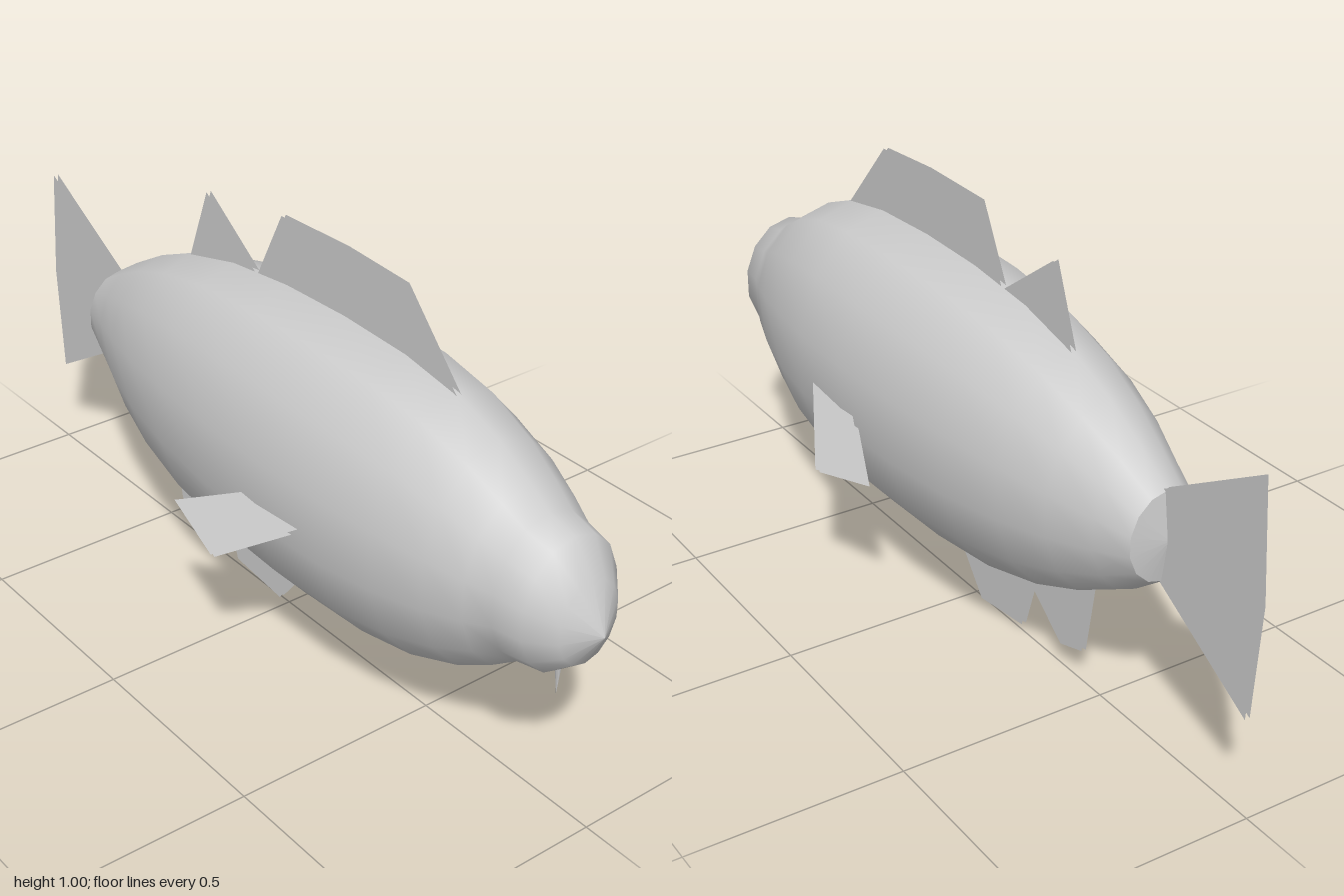
import * as THREE from 'three';

const SIDES = 14;

// Joins elliptical rings [x, centre y, half height, half width] along x.
function loft(stations) {
  const pos = [], index = [];
  for (const [x, cy, h, w] of stations) {
    for (let j = 0; j < SIDES; j++) {
      const a = (j / SIDES) * Math.PI * 2;
      pos.push(x, cy + h * Math.cos(a), w * Math.sin(a));
    }
  }
  for (let i = 0; i < stations.length - 1; i++) {
    for (let j = 0; j < SIDES; j++) {
      const k = (j + 1) % SIDES;
      const a = i * SIDES + j, b = a + SIDES, c = (i + 1) * SIDES + k, d = i * SIDES + k;
      index.push(a, d, c, a, c, b);
    }
  }
  const g = new THREE.BufferGeometry();
  g.setAttribute('position', new THREE.Float32BufferAttribute(pos, 3));
  g.setIndex(index);
  g.computeVertexNormals();
  return g;
}

export function createModel() {
  const model = new THREE.Group();
  model.name = 'fish';
  const skin = new THREE.MeshStandardMaterial({ color: 0xcccccc });
  skin.name = 'paleGrey';
  const finSkin = skin;
  finSkin.side = THREE.DoubleSide;

  const add = (name, geometry, parent = model) => {
    const mesh = new THREE.Mesh(geometry, skin);
    mesh.name = name;
    parent.add(mesh);
    return mesh;
  };

  // Body and head, smooth, with a slight neck before the snout
  add('body', loft([
    [-0.70, 0.505, 0.105, 0.09],
    [-0.61, 0.50, 0.167, 0.118],
    [-0.50, 0.50, 0.228, 0.158],
    [-0.37, 0.50, 0.282, 0.193],
    [-0.20, 0.50, 0.324, 0.224],
    [0.00, 0.50, 0.345, 0.243],
    [0.20, 0.50, 0.35, 0.25],
    [0.40, 0.50, 0.342, 0.243],
    [0.55, 0.50, 0.317, 0.223],
    [0.68, 0.50, 0.268, 0.194],
    [0.77, 0.50, 0.215, 0.165],
    [0.83, 0.502, 0.172, 0.142],
    [0.90, 0.50, 0.157, 0.13],
    [0.955, 0.487, 0.098, 0.08],
    [1.00, 0.475, 0, 0],
  ]));
  add('tailStump', loft([[-0.715, 0.50, 0, 0], [-0.70, 0.505, 0.105, 0.09]]));

  // Upright fins: two thin sheets each, rooted inside the body
  const fins = {
    frontDorsalFin: [[0.60, 0.76], [0.56, 0.81], [0.39, 0.995], [0.2, 1.005], [-0.02, 1.0], [-0.11, 0.825], [-0.11, 0.78]],
    rearDorsalFin: [[-0.11, 0.78], [-0.11, 0.825], [-0.3, 0.96], [-0.37, 0.78], [-0.38, 0.73]],
    tailFin: [[-0.69, 0.61], [-0.98, 0.775], [-1.0, 0.5], [-0.98, 0.23], [-0.69, 0.40]],
    analFin: [[-0.47, 0.29], [-0.435, 0.08], [-0.355, 0.055], [-0.24, 0.145], [-0.24, 0.24]],
    ventralFin: [[-0.24, 0.24], [-0.24, 0.145], [-0.2, 0.02], [-0.03, 0], [0.09, 0.15], [0.12, 0.19]],
  };
  for (const [name, outline] of Object.entries(fins)) {
    const shape = new THREE.Shape(outline.map(([x, y]) => new THREE.Vector2(x, y)));
    const fin = new THREE.Group();
    fin.name = name;
    for (const z of [-0.006, 0.006]) {
      const sheet = add(name + 'Sheet', new THREE.ShapeGeometry(shape), fin);
      sheet.position.z = z;
    }
    model.add(fin);
  }

  // Side fins: sheets slanting down and out from the flanks
  const sideOutline = [[-0.02, 0.395], [0.16, 0.357], [0.36, 0.49], [0.18, 0.49]];
  for (const side of [1, -1]) {
    const fin = new THREE.Group();
    fin.name = side > 0 ? 'frontSideFin' : 'backSideFin';
    for (const drop of [0, 0.01]) {
      const shape = new THREE.Shape(sideOutline.map(([x, y]) => new THREE.Vector2(x, y)));
      const g = new THREE.ShapeGeometry(shape);
      const p = g.attributes.position;
      for (let i = 0; i < p.count; i++) {
        const y = p.getY(i);
        p.setXYZ(i, p.getX(i), y - drop, side * (0.245 + (0.47 - y) * 0.8 - drop));
      }
      g.computeVertexNormals();
      add('sideFinSheet', g, fin);
    }
    model.add(fin);
  }

  // Small barbel hanging under the chin
  const barbel = add('barbel', new THREE.ConeGeometry(0.009, 0.09, 6));
  barbel.rotation.x = Math.PI;
  barbel.position.set(0.885, 0.315, 0);

  return model;
}
